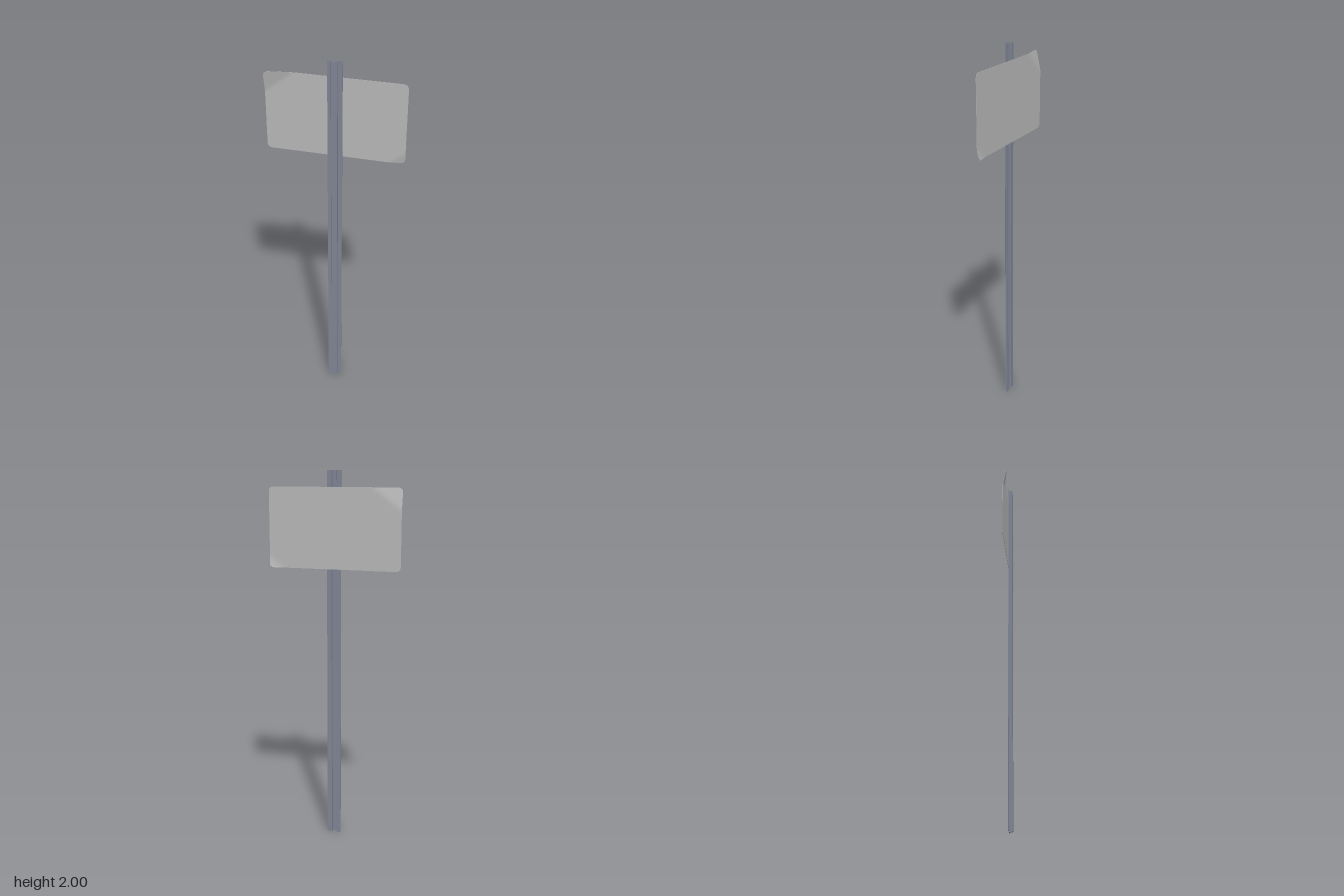
import * as THREE from 'three';

const W = 0.72, H = 0.425, R = 0.025; // sign plate width, height, corner radius

// Hat-section channel post, extruded upwards
function createPost(material) {
  const t = 0.003;
  // right half of the section as (x, z), outer side then inner side
  const outer = [[0.0385, -0.004], [0.0175, -0.004], [0.0165, -0.003], [0.0165, 0.0125], [0.0145, 0.0145]];
  const inner = [[0.0125, 0.0145 - t], [0.0135, 0.0105], [0.0135, -0.006], [0.0145, -0.007], [0.0385, -0.007]];
  const flip = (pts) => pts.map(([x, z]) => [-x, z]).reverse();
  const loop = [...outer, ...flip(outer), ...flip(inner), ...inner];
  const shape = new THREE.Shape(loop.map(([x, z]) => new THREE.Vector2(x, -z)));
  const geometry = new THREE.ExtrudeGeometry(shape, { depth: 2, bevelEnabled: false });
  geometry.rotateX(-Math.PI / 2);
  const post = new THREE.Mesh(geometry, material);
  post.name = 'channelPost';
  return post;
}

// Thin plate with rounded corners, two of them bent out of plane
function createPlate(material) {
  const geometry = new THREE.BoxGeometry(W, H, 0.0015, 58, 34, 1);
  const p = geometry.attributes.position;
  // bend strength at a point u, v away from a corner
  const bend = (u, v, lu, lv) => {
    const k = Math.max(0, 1 - u / lu - v / lv);
    return k < 0.12 ? k * k / 0.24 : k - 0.06;
  };
  for (let i = 0; i < p.count; i++) {
    let x = p.getX(i), y = p.getY(i);
    // round the corner by squeezing its square into a quarter disc
    const a = Math.abs(x) - (W / 2 - R), b = Math.abs(y) - (H / 2 - R);
    if (a > 0 && b > 0) {
      const s = Math.max(a, b) / Math.hypot(a, b);
      x = Math.sign(x) * (W / 2 - R + a * s);
      y = Math.sign(y) * (H / 2 - R + b * s);
    }
    const forward = 0.0245 * bend(W / 2 + x, H / 2 - y, 0.16, 0.12);
    const back = 0.011 * bend(W / 2 - x, H / 2 + y, 0.085, 0.06);
    p.setXYZ(i, x, y, p.getZ(i) + forward - back);
  }
  geometry.computeVertexNormals();
  const plate = new THREE.Mesh(geometry, material);
  plate.name = 'signPlate';
  plate.position.set(0, 1.7025, -0.0098);
  return plate;
}

export function createModel() {
  const steel = new THREE.MeshStandardMaterial({ color: 0x7f8594 });
  steel.name = 'blue grey steel';
  const sheet = new THREE.MeshStandardMaterial({ color: 0xb8b8b8 });
  sheet.name = 'light grey sheet metal';

  const model = new THREE.Group();
  model.name = 'signPost';
  model.add(createPost(steel), createPlate(sheet));
  return model;
}
